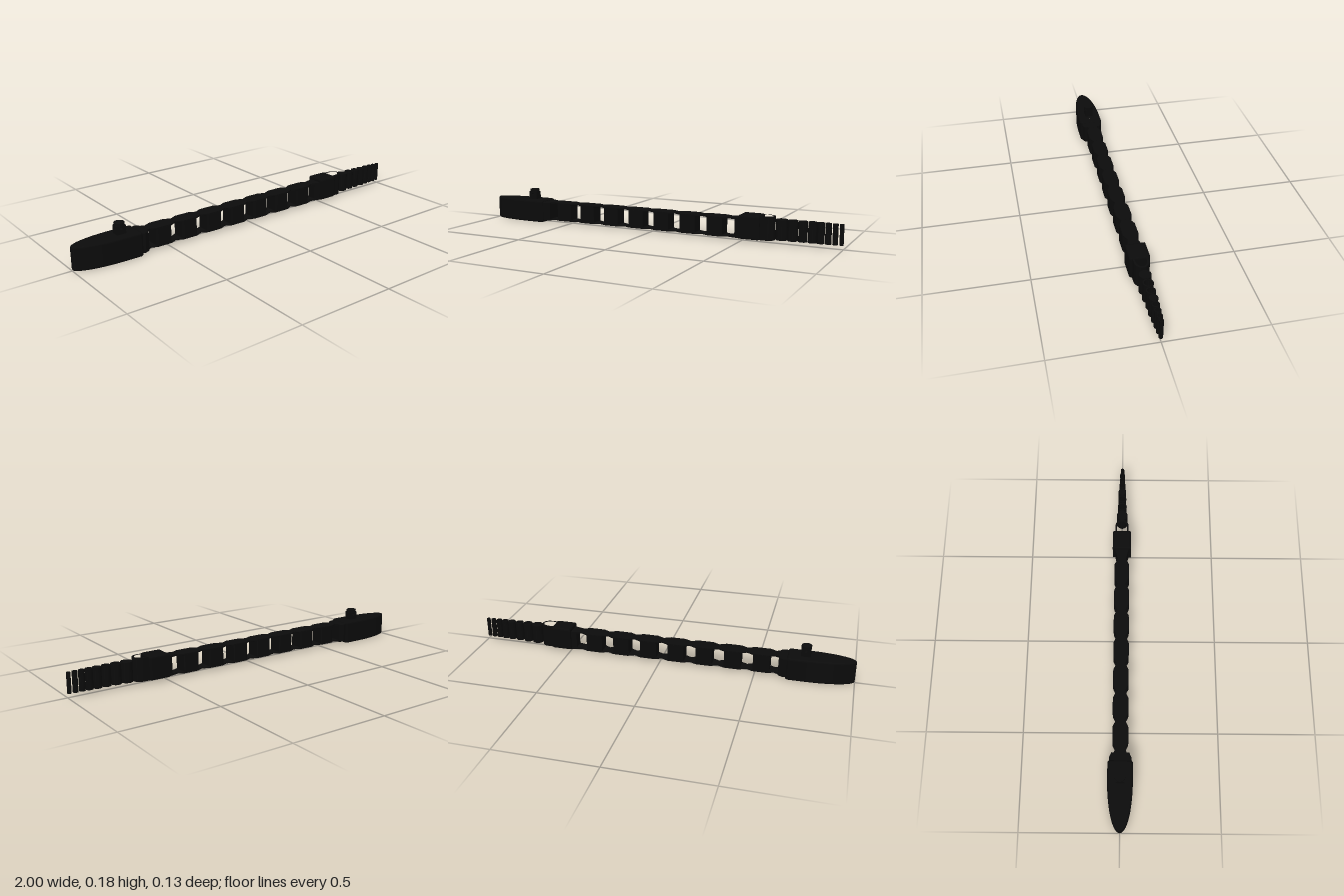
import * as THREE from 'three';

const black = new THREE.MeshStandardMaterial({ color: 0x0b0b0b });
black.name = 'black';

// Closed plan outline mirrored across z = 0 from [x, halfWidth] points
function outline(points) {
  const mirrored = points.filter(p => p[1] > 0).reverse().map(([x, w]) => [x, -w]);
  return new THREE.Shape([...points, ...mirrored].map(p => new THREE.Vector2(...p)));
}

function hole(shape, x, y, r) {
  shape.holes.push(new THREE.Path().absarc(x, y, r, 0, Math.PI * 2, true));
  return shape;
}

// Extrude a plan shape upward from y0 to y1, with rounded rims
function upright(name, shape, y0, y1, bevel = 0) {
  const geo = new THREE.ExtrudeGeometry(shape, {
    depth: y1 - y0 - 2 * bevel, curveSegments: 24, bevelEnabled: bevel > 0,
    bevelSize: bevel, bevelThickness: bevel, bevelOffset: -bevel, bevelSegments: 4,
  });
  geo.rotateX(-Math.PI / 2).translate(0, y0 + bevel, 0);
  const mesh = new THREE.Mesh(geo, black);
  mesh.name = name;
  return mesh;
}

function createHead() {
  const head = new THREE.Group();
  head.name = 'head';
  // Bullet-nosed housing with a small vertical hole
  const nose = [];
  for (let i = 0; i <= 16; i++) {
    const a = (i / 16) * Math.PI / 2;
    nose.push([-0.76 - 0.24 * Math.cos(a), i ? 0.063 * Math.sin(a) : 0]);
  }
  const plan = hole(outline([...nose, [-0.67, 0.063], [-0.66, 0.056]]), -0.7, 0, 0.008);
  head.add(upright('housing', plan, 0, 0.122, 0.01));
  // Flared collar toward the chain
  const collar = outline([[-0.672, 0.05], [-0.645, 0.056], [-0.62, 0.044]]);
  head.add(upright('collar', collar, 0.01, 0.115, 0.005));
  // Pierced knob on top
  const neck = new THREE.Shape([[-0.774, 0.115], [-0.726, 0.115], [-0.726, 0.164], [-0.774, 0.164]]
    .map(p => new THREE.Vector2(...p)));
  hole(neck, -0.75, 0.15, 0.007);
  const neckGeo = new THREE.ExtrudeGeometry(neck, { depth: 0.042, bevelEnabled: false });
  const neckMesh = new THREE.Mesh(neckGeo.translate(0, 0, -0.021), black);
  neckMesh.name = 'knobNeck';
  const cap = new THREE.Mesh(new THREE.CylinderGeometry(0.026, 0.026, 0.018, 32), black);
  cap.name = 'knobCap';
  cap.position.set(-0.75, 0.169, 0);
  head.add(neckMesh, cap);
  return head;
}

// Solid core with tapered plates reaching over the open hinge gaps
function createLink(x) {
  const link = new THREE.Group();
  link.name = 'chainLink';
  const core = outline([[-0.045, 0.034], [-0.036, 0.04], [0.036, 0.04], [0.04, 0.036]]);
  const plate = outline([[-0.076, 0.021], [-0.04, 0.039], [0.04, 0.039], [0.076, 0.021]]);
  link.add(upright('linkCore', core, 0.02, 0.11));
  link.add(upright('topPlate', plate, 0.107, 0.116, 0.002));
  link.add(upright('bottomPlate', plate, 0.014, 0.022, 0.002));
  link.position.x = x;
  return link;
}

function createConnector() {
  const connector = new THREE.Group();
  connector.name = 'connector';
  const block = outline([[0.492, 0.05], [0.59, 0.05], [0.6, 0.045]]);
  connector.add(upright('connectorBlock', block, 0.014, 0.135, 0.01));
  connector.add(upright('connectorStub', outline([[0.465, 0.025], [0.495, 0.036]]), 0.02, 0.11));
  // Thin U-shaped loop open from top to bottom
  const loopEdge = (w, end) => {
    const pts = [[0.595, w]];
    for (let i = 0; i <= 10; i++) {
      const a = (1 - i / 10) * Math.PI / 2;
      pts.push([end - 0.04 + 0.04 * Math.cos(a), i < 10 ? w * Math.sin(a) : 0]);
    }
    return pts;
  };
  const loop = outline(loopEdge(0.036, 0.667));
  loop.holes.push(new THREE.Path(outline(loopEdge(0.027, 0.657)).getPoints()));
  connector.add(upright('connectorLoop', loop, 0.015, 0.133));
  return connector;
}

// Shrinking run of upright tubes, some of them solid
function createTail() {
  const tail = new THREE.Group();
  tail.name = 'tail';
  const beads = [[0.7, 0.029, 1], [0.755, 0.025, 0], [0.805, 0.022, 0], [0.851, 0.021, 1],
    [0.891, 0.018, 0], [0.927, 0.015, 0], [0.96, 0.013, 0], [0.99, 0.01, 0]];
  for (const [x, r, solid] of beads) {
    const ring = new THREE.Shape().absarc(x, 0, r, 0, Math.PI * 2, false);
    if (!solid) hole(ring, x, 0, r * 0.75);
    tail.add(upright('tailBead', ring, 0.02, 0.121));
  }
  return tail;
}

export function createModel() {
  const model = new THREE.Group();
  model.name = 'articulatedChain';
  model.add(createHead());
  // Hinge plates between head and first link
  for (const y of [0.012, 0.106]) {
    model.add(upright('headHinge', outline([[-0.63, 0.036], [-0.595, 0.021]]), y, y + 0.009));
  }
  for (let i = 0; i < 7; i++) model.add(createLink(-0.53 + i * 0.149));
  // Hinge plates between last link and connector
  for (const y of [0.014, 0.107]) {
    model.add(upright('connectorHinge', outline([[0.43, 0.021], [0.5, 0.038]]), y, y + 0.009));
  }
  model.add(createConnector(), createTail());
  return model;
}
